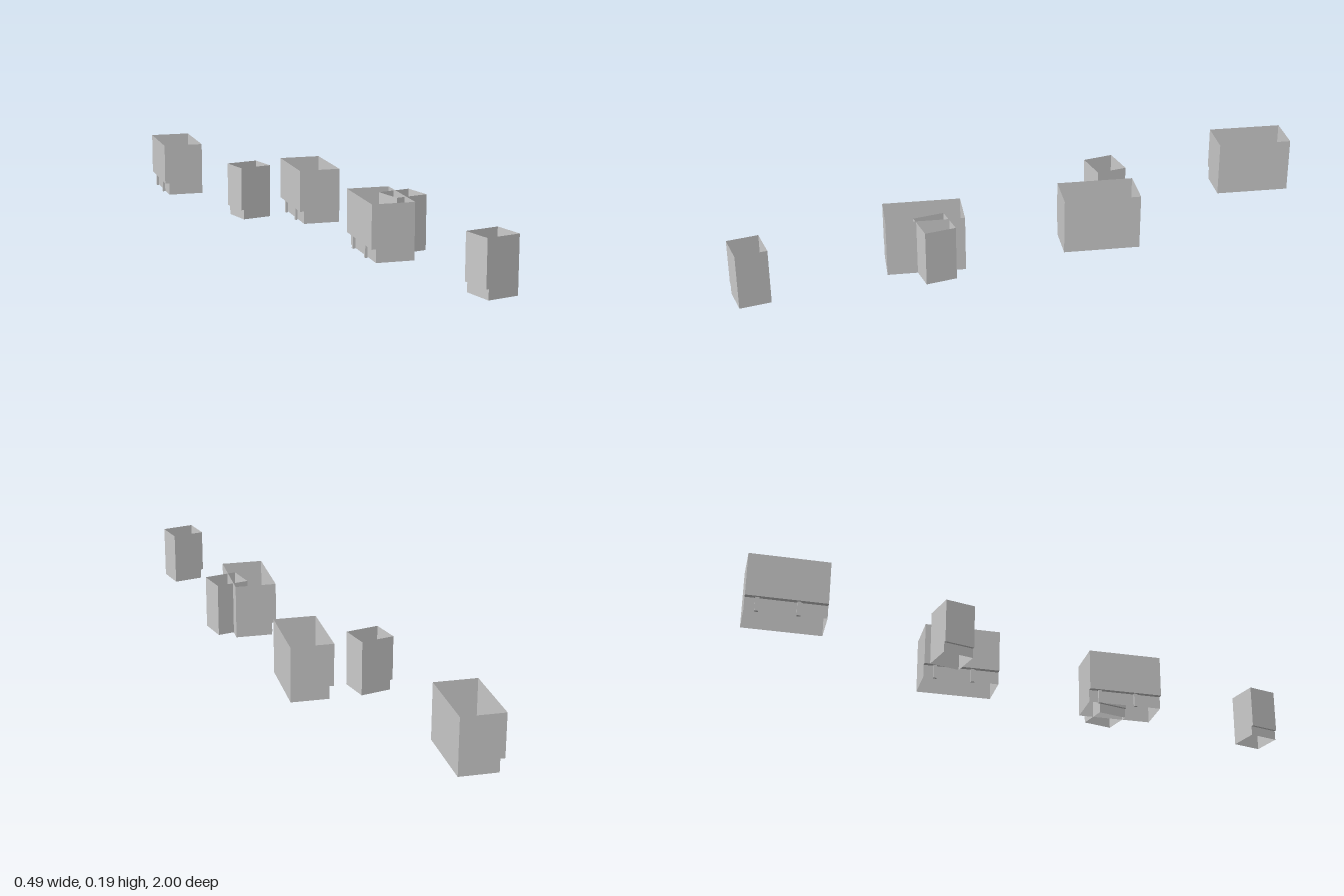
import * as THREE from 'three';

const TILT = THREE.MathUtils.degToRad(7.1);
const BASE = 0.003;
const material = new THREE.MeshStandardMaterial({ color: 0xcccccc, side: THREE.DoubleSide, flatShading: true });

function addMesh(parent, name, geometry) {
  const mesh = new THREE.Mesh(geometry, material);
  mesh.name = name;
  parent.add(mesh);
  return mesh;
}

// Thin panel spanning the segment from a to b in x/y, running along z
function addPanel(parent, name, a, b, depth) {
  const geometry = new THREE.PlaneGeometry(depth, Math.hypot(b[0] - a[0], b[1] - a[1]));
  geometry.rotateY(Math.PI / 2);
  geometry.rotateZ(Math.atan2(b[1] - a[1], b[0] - a[0]) - Math.PI / 2);
  geometry.translate((a[0] + b[0]) / 2, (a[1] + b[1]) / 2, 0);
  return addMesh(parent, name, geometry);
}

// Block open at top and bottom, with its -x side stepped in below a ledge
function makeBlock(name, { width, depth, top, ledge, step, posts }) {
  const block = new THREE.Group();
  block.name = name;
  const w = width / 2;
  const outline = [[w, BASE], [w, top], [-w, top], [-w, ledge], [step - w, ledge], [step - w, BASE]];

  // End walls
  const shape = new THREE.Shape(outline.map(([x, y]) => new THREE.Vector2(x, y)));
  addMesh(block, 'frontWall', new THREE.ShapeGeometry(shape).translate(0, 0, depth / 2));
  addMesh(block, 'backWall', new THREE.ShapeGeometry(shape).rotateY(Math.PI).scale(-1, 1, 1).translate(0, 0, -depth / 2));

  // Side walls and the ledge soffit
  addPanel(block, 'plainSide', outline[0], outline[1], depth);
  addPanel(block, 'upperSide', outline[2], outline[3], depth);
  addPanel(block, 'ledgeSoffit', outline[3], outline[4], depth);
  addPanel(block, 'recessedSide', outline[4], outline[5], depth);

  // Small posts under the ledge
  for (const t of posts) {
    const post = addMesh(block, 'ledgePost', new THREE.BoxGeometry(0.008, ledge, 0.012));
    post.position.set(step - w - 0.004, ledge / 2, (t - 0.5) * depth);
  }
  return block;
}

export function createModel() {
  const model = new THREE.Group();
  model.name = 'rowOfBlocks';
  const large = { width: 0.14, depth: 0.2525, top: 0.188, ledge: 0.046, step: 0.015, posts: [0.15, 0.65] };
  const small = { width: 0.112, depth: 0.102, top: 0.184, ledge: 0.036, step: 0.0085, posts: [] };

  const place = (name, spec, tilt, spots) => spots.forEach(([x, z]) => {
    const block = makeBlock(name, spec);
    block.position.set(x, 0, z);
    block.rotation.y = tilt;
    model.add(block);
  });
  place('longBlock', large, -TILT, [[-0.162, -0.866], [0.107, -0.216], [0.097, 0.3715]]);
  place('smallBlock', small, TILT, [[-0.0865, -0.301], [0.1835, 0.355], [0.173, 0.9425]]);
  return model;
}
